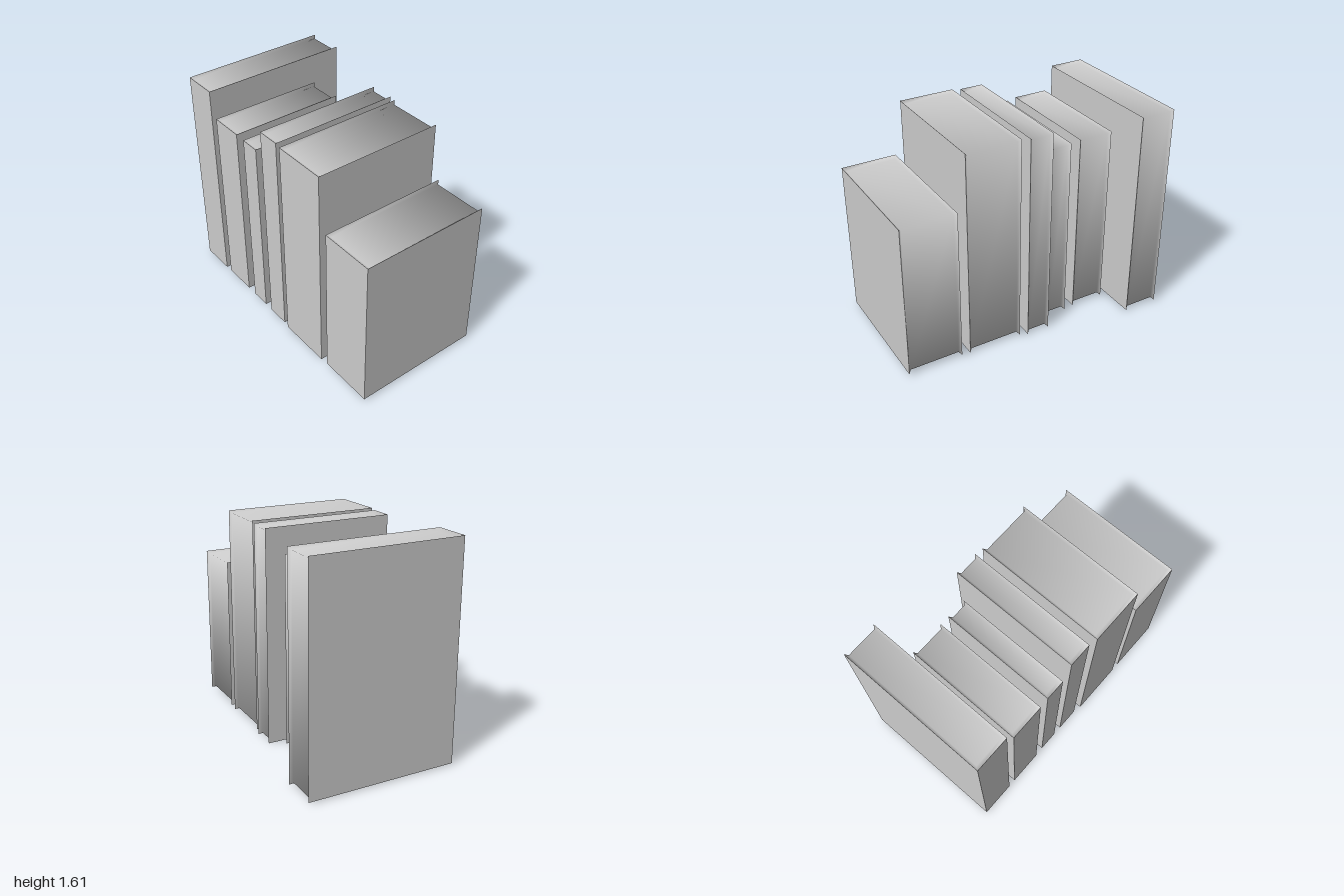
import * as THREE from 'three';

const RECESS = 0.02;       // page edges sit below the cover edges
const BOARD = 0.02;        // cover thickness at the page block
const SPINE = 0.03;        // spine thickness at the page block

// Each book: [x0, x1, y0, y1, z0, z1]
const BOOKS = [
  [-0.565, 0.4, 0.02, 1.18, 0.59, 1.0],
  [-0.565, 0.4, 0.01, 1.585, 0.115, 0.525],
  [-0.55, 0.415, 0.0, 1.58, -0.12, 0.055],
  [-0.55, 0.305, 0.005, 1.405, -0.34, -0.19],
  [-0.555, 0.305, 0.015, 1.415, -0.675, -0.415],
  [-0.555, 0.56, 0.01, 1.605, -1.0, -0.735],
];

// Corner index: bit 0 = x, bit 1 = y, bit 2 = z; +8 for the inner page block
const COVER_QUADS = [[4, 5, 7, 6], [1, 0, 2, 3], [0, 4, 6, 2]];
const PAGE_QUADS = [
  [14, 15, 11, 10], [6, 7, 15, 14], [3, 2, 10, 11], [2, 6, 14, 10],   // head and its lips
  [8, 9, 13, 12], [12, 13, 5, 4], [9, 8, 0, 1], [8, 12, 4, 0],        // tail and its lips
  [13, 9, 11, 15], [5, 13, 15, 7], [9, 1, 3, 11],                     // fore edge and its lips
];

function boxCorners([x0, x1, y0, y1, z0, z1]) {
  const out = [];
  for (let i = 0; i < 8; i++) out.push(i & 1 ? x1 : x0, i & 2 ? y1 : y0, i & 4 ? z1 : z0);
  return out;
}

function quadMesh(name, points, quads, flat, material) {
  let geometry = new THREE.BufferGeometry();
  geometry.setAttribute('position', new THREE.Float32BufferAttribute(points, 3));
  geometry.setIndex(quads.flatMap(([a, b, c, d]) => [a, b, c, a, c, d]));
  if (flat) geometry = geometry.toNonIndexed();
  geometry.computeVertexNormals();
  const mesh = new THREE.Mesh(geometry, material);
  mesh.name = name;
  return mesh;
}

function createBook(size, material) {
  const [x0, x1, y0, y1, z0, z1] = size;
  const inner = [x0 + SPINE, x1 - RECESS, y0 + RECESS, y1 - RECESS, z0 + BOARD, z1 - BOARD];
  const points = [...boxCorners(size), ...boxCorners(inner)];
  const book = new THREE.Group();
  book.add(
    quadMesh('cover', points, COVER_QUADS, true, material),
    quadMesh('pages', points, PAGE_QUADS, false, material),
  );
  return book;
}

export function createModel() {
  const model = new THREE.Group();
  model.name = 'rowOfBooks';
  const material = new THREE.MeshStandardMaterial({ color: 0xcccccc });
  BOOKS.forEach((size, i) => {
    const book = createBook(size, material);
    book.name = `book${i + 1}`;
    model.add(book);
  });
  return model;
}
